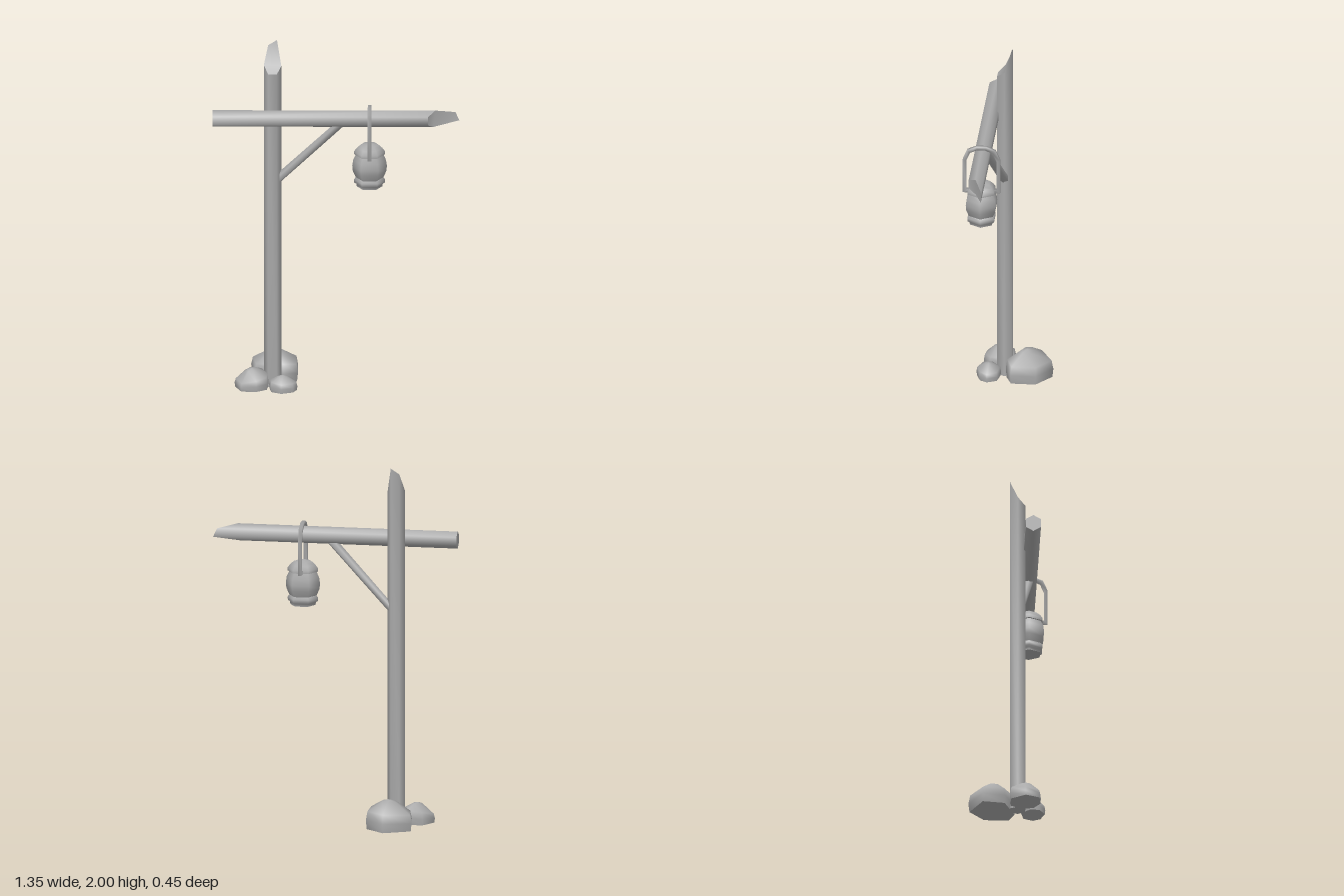
import * as THREE from 'three';

const grey = new THREE.MeshStandardMaterial({ color: 0xaaaaaa });
grey.name = 'plain grey';

// Skin a stack of rings; ends are capped with fans, hard-edged or smooth
function loft(rings, smoothCaps = false) {
  const n = rings[0].length, pos = [], idx = [];
  rings.forEach(r => r.forEach(p => pos.push(...p)));
  for (let j = 0; j < rings.length - 1; j++) {
    for (let i = 0; i < n; i++) {
      const a0 = j * n + i, a1 = j * n + (i + 1) % n, b0 = a0 + n, b1 = a1 + n;
      idx.push(a0, b0, b1, a0, b1, a1);
    }
  }
  const cap = (ring, start, up) => {
    let s = start;
    if (!(smoothCaps && up)) {
      s = pos.length / 3;
      ring.forEach(p => pos.push(...p));
    }
    for (let i = 1; i < n - 1; i++) {
      if (up) idx.push(s, s + i + 1, s + i);
      else idx.push(s, s + i, s + i + 1);
    }
  };
  cap(rings[0], 0, false);
  cap(rings[rings.length - 1], (rings.length - 1) * n, true);
  const g = new THREE.BufferGeometry();
  g.setAttribute('position', new THREE.Float32BufferAttribute(pos, 3));
  g.setIndex(idx);
  g.computeVertexNormals();
  return g;
}

function part(name, geometry, parent) {
  const m = new THREE.Mesh(geometry, grey);
  m.name = name;
  parent.add(m);
  return m;
}

// Six-sided ring around centre c, spanned by the offsets u and v
function hexRing(c, u, v) {
  return Array.from({ length: 6 }, (_, k) => {
    const a = k * Math.PI / 3;
    return c.map((q, i) => q + u[i] * Math.cos(a) + v[i] * Math.sin(a));
  });
}

// Upright six-sided log whose top is hewn to the given corner heights
function log(tops) {
  const base = hexRing([0, 0, 0], [0.048, 0, 0], [0, 0, 0.048]);
  return loft([base, base.map((p, k) => [p[0], tops[k], p[2]])]);
}

// Stone from an outline of [x, z, shoulder height] and a crown [x, z, y]
function stone(outline, [cx, cz, top]) {
  const ring = (s, h) => outline.map(([x, z, y]) => [cx + (x - cx) * s, h(y), cz + (z - cz) * s]);
  return loft([
    ring(0.96, () => 0),
    ring(1, y => y * 0.5),
    ring(0.93, y => y),
    ring(0.3, y => top - (top - y) * 0.15),
    ring(0.02, () => top),
  ], true);
}

export function createModel() {
  const model = new THREE.Group();
  model.name = 'lanternPost';

  // Post and crossbeam, each with a hewn point
  part('post', log([1.865, 1.83, 1.83, 1.87, 1.97, 2.0]), model).position.set(-0.352, 0, 0.042);
  const beam = part('crossbeam', log([1.21, 1.18, 1.18, 1.22, 1.33, 1.352]), model);
  beam.rotation.z = -Math.PI / 2;
  beam.position.set(-0.68, 1.585, 0.118);

  // Diagonal brace with ends cut flush to post and beam
  part('brace', loft([
    hexRing([-0.315, 1.213, 0.045], [0, -0.033, 0], [0, 0, 0.025]),
    hexRing([0.01, 1.545, 0.115], [0.033, 0, 0], [0, 0, 0.025]),
  ]), model);

  // Lantern: stacked six-sided turned pieces
  const lantern = new THREE.Group();
  lantern.name = 'lantern';
  lantern.position.set(0.18, 0, 0.12);
  model.add(lantern);
  const turned = (name, profile) => {
    const pts = profile.map(([r, y]) => new THREE.Vector2(r, y));
    part(name, new THREE.LatheGeometry(pts, 6).rotateY(Math.PI / 6), lantern);
  };
  turned('lanternBottom', [[0, 1.19], [0.07, 1.19]]);
  turned('lanternBase', [[0.07, 1.19], [0.072, 1.205], [0.084, 1.212], [0.085, 1.23], [0.075, 1.245]]);
  turned('lanternBody', [[0.075, 1.242], [0.092, 1.28], [0.095, 1.31], [0.09, 1.345], [0.074, 1.38]]);
  turned('lanternRoofUnderside', [[0.06, 1.378], [0.085, 1.378]]);
  turned('lanternRoof', [[0.085, 1.378], [0.085, 1.395], [0.07, 1.415], [0.05, 1.433], [0, 1.445]]);

  // Square-section handle looped over the beam, with feet turned in to the roof
  const half = [[0.06, 1.384], [0.093, 1.384], [0.093, 1.572], [0.07, 1.625], [0.025, 1.645]];
  const path = [...half, ...half.map(([z, y]) => [-z, y]).reverse()];
  const t = 0.01;
  const dir = (a, b) => {
    const l = Math.hypot(b[0] - a[0], b[1] - a[1]);
    return [(b[0] - a[0]) / l, (b[1] - a[1]) / l];
  };
  const rings = path.map((p, i) => {
    const d0 = dir(path[Math.max(i - 1, 0)], path[Math.max(i, 1)]);
    const last = path.length - 1;
    const d1 = dir(path[Math.min(i, last - 1)], path[Math.min(i + 1, last)]);
    const k = t / (1 + d0[0] * d1[0] + d0[1] * d1[1]);
    const vy = -(d0[0] + d1[0]) * k, vz = (d0[1] + d1[1]) * k;
    return [[1, 1], [-1, 1], [-1, -1], [1, -1]].map(([a, b]) => [a * t, p[1] + b * vy, p[0] + b * vz]);
  });
  part('lanternHandle', loft(rings), lantern);

  // Stones around the foot of the post
  part('largeStone', stone([
    [-0.213, -0.14, 0.1], [-0.213, 0, 0.1], [-0.29, 0.032, 0.11],
    [-0.45, -0.03, 0.09], [-0.47, -0.155, 0.09], [-0.32, -0.227, 0.1],
  ], [-0.335, -0.085, 0.16]), model);
  part('leftStone', stone([
    [-0.37, 0.06, 0.075], [-0.38, 0.13, 0.07], [-0.44, 0.167, 0.06],
    [-0.525, 0.16, 0.045], [-0.56, 0.08, 0.05], [-0.505, -0.003, 0.07], [-0.41, -0.003, 0.08],
  ], [-0.465, 0.085, 0.112]), model);
  part('smallStone', stone([
    [-0.215, 0.13, 0.045], [-0.238, 0.172, 0.05], [-0.305, 0.195, 0.05],
    [-0.362, 0.165, 0.055], [-0.37, 0.11, 0.055], [-0.31, 0.06, 0.055], [-0.24, 0.075, 0.05],
  ], [-0.295, 0.125, 0.085]), model);

  return model;
}
